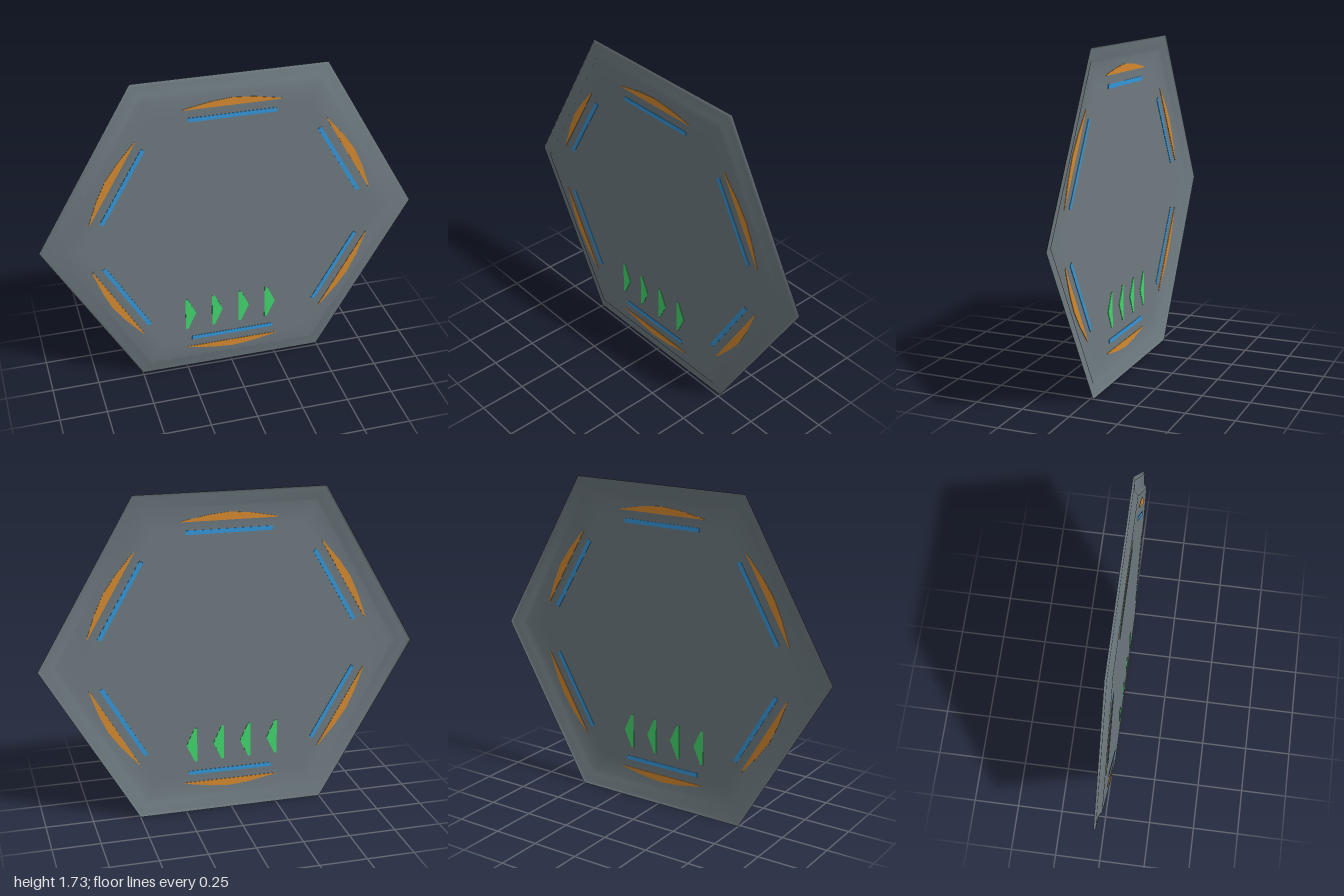
import * as THREE from 'three';

const CENTER_Y = 0.866;
const PANEL_Z = 0.016;

// Pressed hexagonal sheet made of concentric rings: [radius, z]
function hexSheet(rings) {
  const pos = [0, 0, PANEL_Z];
  const index = [];
  rings.forEach(([r, z], k) => {
    for (let i = 0; i < 6; i++) {
      const a = (i * Math.PI) / 3;
      pos.push(r * Math.cos(a), r * Math.sin(a), z);
      const j = (i + 1) % 6;
      const o = 1 + k * 6;
      if (k === 0) index.push(0, 1 + i, 1 + j);
      else index.push(o - 6 + i, o + i, o + j, o - 6 + i, o + j, o - 6 + j);
    }
  });
  const geo = new THREE.BufferGeometry();
  geo.setAttribute('position', new THREE.Float32BufferAttribute(pos, 3));
  geo.setIndex(index);
  geo.computeVertexNormals();
  return geo;
}

// Thin inlay that shows on both faces of the sheet
function inlay(points) {
  const shape = new THREE.Shape(points.map(([x, y]) => new THREE.Vector2(x, y)));
  const geo = new THREE.ExtrudeGeometry(shape, { depth: 0.004, bevelEnabled: false });
  return geo.translate(0, 0, PANEL_Z - 0.002);
}

export function createModel() {
  const material = (name, color, side = THREE.FrontSide) => {
    const m = new THREE.MeshStandardMaterial({ color, side });
    m.name = name;
    return m;
  };
  const grey = material('slate grey', 0x6e7a80, THREE.DoubleSide);
  const orange = material('orange', 0xd58a30);
  const blue = material('blue', 0x3498db);
  const green = material('green', 0x42d66c);

  const model = new THREE.Group();
  model.name = 'hexagonalPanel';
  const body = new THREE.Group();
  body.name = 'panelBody';
  body.position.y = CENTER_Y;
  model.add(body);

  const add = (name, geo, mat) => {
    const mesh = new THREE.Mesh(geo, mat);
    mesh.name = name;
    body.add(mesh);
    return mesh;
  };

  // Raised panel, sloped step, flat rim and folded lip
  add('sheet', hexSheet([
    [0.78, PANEL_Z], [0.9, PANEL_Z], [0.925, -0.001], [0.985, -0.005], [1, -0.016],
  ]), grey);

  // One orange wedge and one blue bar along each side
  const wedge = inlay([
    [-0.25, 0.711], [0.25, 0.711], [0.25, 0.716], [0.11, 0.742],
    [0, 0.752], [-0.11, 0.742], [-0.25, 0.716],
  ]);
  const bar = inlay([[-0.225, 0.645], [0.228, 0.645], [0.228, 0.667], [-0.225, 0.667]]);
  for (let i = 0; i < 6; i++) {
    add('edgeWedge', wedge, orange).rotation.z = (i * Math.PI) / 3;
    add('edgeBar', bar, blue).rotation.z = (i * Math.PI) / 3;
  }

  // Row of four arrowheads pointing to +x
  const arrow = inlay([
    [0, -0.095], [0.014, -0.095], [0.058, 0], [0.014, 0.095], [0, 0.095],
  ]);
  for (let i = 0; i < 4; i++) {
    add('arrowhead', arrow, green).position.set(-0.261 + i * 0.147, 0.37 - CENTER_Y, 0);
  }
  return model;
}
